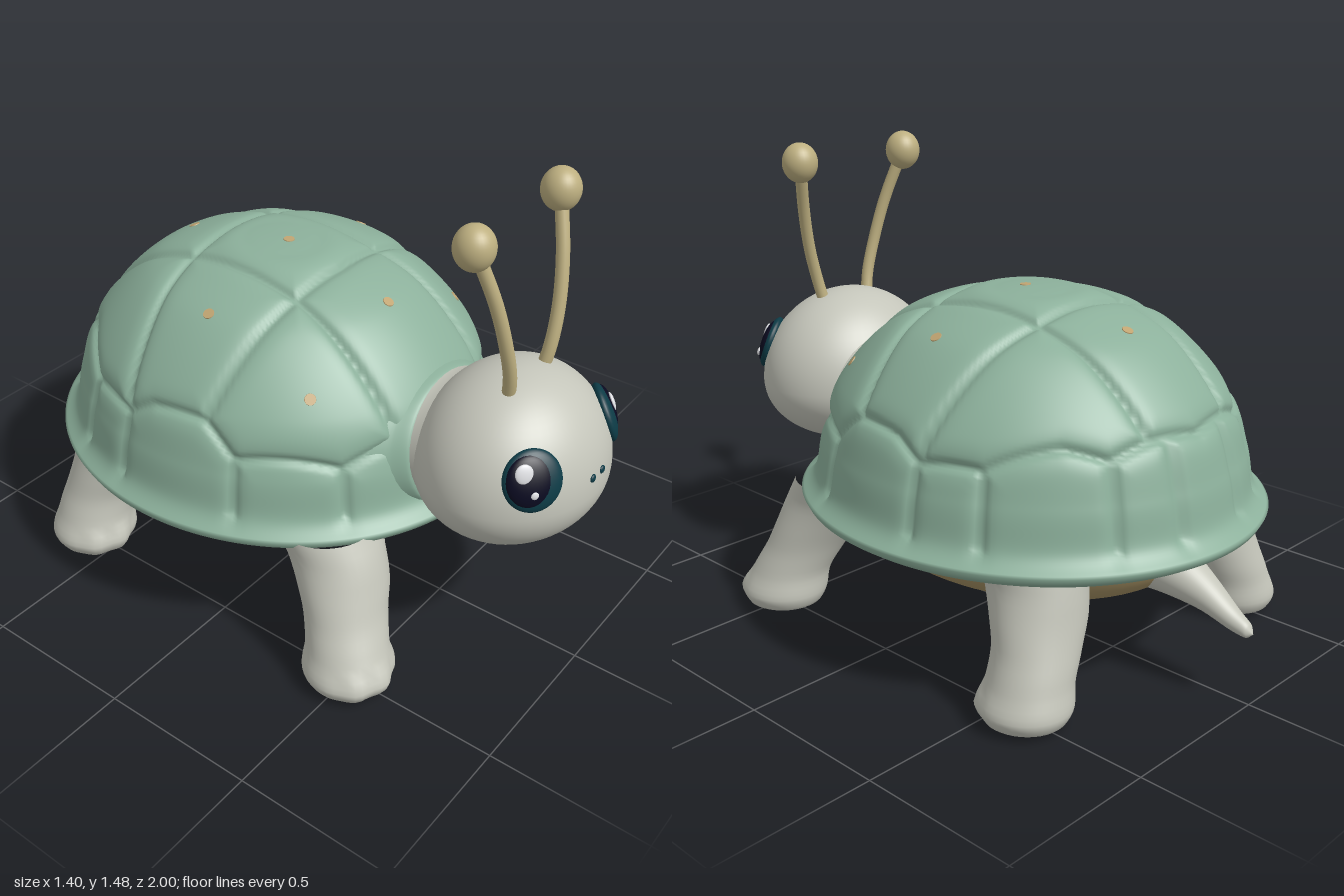
import * as THREE from 'three';
import { mergeVertices } from 'three/addons/utils/BufferGeometryUtils.js';

const mat = (name, color) => {
  const m = new THREE.MeshStandardMaterial({ color });
  m.name = name;
  return m;
};
const V2 = (x, y) => new THREE.Vector2(x, y);
const V3 = (x, y, z) => new THREE.Vector3(x, y, z);
const X = V3(1, 0, 0), Y = V3(0, 1, 0), Z = V3(0, 0, 1);

// Shell plan: an ellipse of half-width 0.7 and half-length 0.76
const SHELL_Z = -0.15, STRETCH = 0.76 / 0.7;
const DOME = new THREE.SplineCurve([
  V2(0, 1.095), V2(0.1, 1.09), V2(0.2, 1.074), V2(0.405, 0.985), V2(0.573, 0.8),
  V2(0.632, 0.63), V2(0.656, 0.51), V2(0.7, 0.458),
]);

function createSeams() {
  // Seams live on a flat polar map: angle from the front, distance along the dome
  const polar = (deg, s, side) => {
    const a = THREE.MathUtils.degToRad(deg);
    return V2(side * s * Math.sin(a), s * Math.cos(a));
  };
  const ring = [[22, 0.74], [38, 0.79], [66, 0.77], [75, 0.67], [92, 0.68], [100, 0.74],
    [118, 0.73], [138, 0.66], [150, 0.7], [162, 0.66], [180, 0.67]];
  const marginal = [[38, 0.79], [66, 0.77], [100, 0.74], [118, 0.73], [150, 0.7], [168, 0.67]];
  const segs = [];
  const line = (pts) => pts.slice(1).forEach((p, i) => segs.push([pts[i], p]));
  for (const side of [1, -1]) {
    line(ring.map(([d, s]) => polar(d, s, side)));
    marginal.forEach(([d, s]) => line([polar(d, s, side), polar(d, 0.93, side)]));
    line([polar(22, 0.74, side), V2(side * 0.2, 0.2), V2(side * 0.19, -0.18), polar(162, 0.66, side)]);
    line([V2(0, 0.21), V2(side * 0.2, 0.2), polar(75, 0.67, side)]);
    line([V2(0, -0.18), V2(side * 0.19, -0.18), polar(100, 0.74, side)]);
  }
  return segs;
}

function seamDistance(p, segs) {
  let best = 1;
  for (const [a, b] of segs) {
    const dx = b.x - a.x, dy = b.y - a.y;
    const t = THREE.MathUtils.clamp(((p.x - a.x) * dx + (p.y - a.y) * dy) / (dx * dx + dy * dy), 0, 1);
    best = Math.min(best, Math.hypot(p.x - a.x - t * dx, p.y - a.y - t * dy));
  }
  return best;
}

function smoothed(geo) {
  geo.deleteAttribute('uv');
  geo.deleteAttribute('normal');
  const g = mergeVertices(geo, 1e-5);
  g.computeVertexNormals();
  return g;
}

function shellGeometry() {
  const N = 110, SEG = 256;
  const under = [V2(0.4, 0.385), V2(0.6, 0.392), V2(0.66, 0.418), V2(0.69, 0.438)];
  const profile = [...under, ...DOME.getSpacedPoints(N).reverse()];
  const geo = new THREE.LatheGeometry(profile, SEG);
  const pos = geo.attributes.position, nor = geo.attributes.normal, segs = createSeams();
  for (let i = 0; i <= SEG; i++) {
    const a = ((i % SEG) / SEG) * Math.PI * 2;
    profile.forEach((_, j) => {
      const k = i * profile.length + j, s = 1 - (j - under.length) / N;
      let cut = 0;
      if (s < 0.99) {
        const d = seamDistance(V2(s * Math.sin(a), s * Math.cos(a)), segs);
        cut = 0.013 * Math.exp(-((d / 0.012) ** 2)) + 0.008 * Math.exp(-((d / 0.035) ** 2));
      }
      pos.setXYZ(k, pos.getX(k) - nor.getX(k) * cut, pos.getY(k) - nor.getY(k) * cut,
        (pos.getZ(k) - nor.getZ(k) * cut) * STRETCH + SHELL_Z);
    });
  }
  return smoothed(geo);
}

// Skin through cross-sections [x, y, z, ru, rv]; u x v must point along the path
function loft(rings, u, v, shape = () => 1, steps = 32, sides = 40) {
  const centres = new THREE.CatmullRomCurve3(rings.map((r) => V3(r[0], r[1], r[2])));
  const radii = new THREE.CatmullRomCurve3(rings.map((r) => V3(r[3], r[4] ?? r[3], 0)));
  const pts = [], idx = [];
  for (let i = 0; i <= steps; i++) {
    const c = centres.getPoint(i / steps), r = radii.getPoint(i / steps);
    for (let j = 0; j < sides; j++) {
      const a = (j / sides) * Math.PI * 2, k = shape(a, c.y);
      const p = c.clone().addScaledVector(u, Math.cos(a) * r.x * k).addScaledVector(v, Math.sin(a) * r.y * k);
      pts.push(p.x, Math.max(p.y, 0), p.z);
      if (i === steps) continue;
      const b = (j + 1) % sides, o = i * sides;
      idx.push(o + j, o + b, o + sides + j, o + b, o + sides + b, o + sides + j);
    }
  }
  const g = new THREE.BufferGeometry();
  g.setAttribute('position', new THREE.Float32BufferAttribute(pts, 3));
  g.setIndex(idx);
  g.computeVertexNormals();
  return g;
}

export function createModel() {
  const model = new THREE.Group();
  model.name = 'turtle';
  const skin = mat('skin', 0xc4c5ba), green = mat('shellGreen', 0x8cb09b), tan = mat('bellyTan', 0xa38f62);
  const horn = mat('antennaTan', 0xbdaf80), teal = mat('eyeTeal', 0x0d3b46), dark = mat('pupilDark', 0x0a0a20);
  const white = mat('highlightWhite', 0xdcdde0), spotMat = mat('spotTan', 0xc0a472);
  const add = (name, geo, material, parent = model) => {
    const m = new THREE.Mesh(geo, material);
    m.name = name;
    parent.add(m);
    return m;
  };
  const ball = (name, material, p, r, parent) => {
    const m = add(name, new THREE.SphereGeometry(1, 32, 20), material, parent);
    m.position.set(...p);
    m.scale.set(...r);
    return m;
  };

  // Shell and belly
  add('shell', shellGeometry(), green);
  const bellyProfile = new THREE.SplineCurve([V2(0, 0.198), V2(0.15, 0.201), V2(0.3, 0.213), V2(0.43, 0.243),
    V2(0.52, 0.31), V2(0.57, 0.42)]).getPoints(30);
  const belly = add('belly', new THREE.LatheGeometry(bellyProfile, 64), tan);
  belly.scale.set(0.88, 1, 1.13);
  belly.position.z = -0.12;

  // Small round spots on the shell plates
  const dome = DOME.getSpacedPoints(200);
  const surface = (x, z) => {
    const r = Math.hypot(x, (z - SHELL_Z) / STRETCH);
    const i = Math.max(1, dome.findIndex((p) => p.x >= r)), a = dome[i - 1], b = dome[i];
    return V3(x, a.y + ((b.y - a.y) * (r - a.x)) / (b.x - a.x), z);
  };
  for (const [x, z] of [[0, -0.52], [0, -0.12], [0, 0.26], [0.38, -0.12], [-0.38, -0.12], [0.38, 0.26], [-0.38, 0.26]]) {
    const p = surface(x, z), e = 0.02;
    const n = surface(x, z + e).sub(surface(x, z - e)).cross(surface(x + e, z).sub(surface(x - e, z))).normalize();
    const spot = add('shellSpot', new THREE.CylinderGeometry(0.017, 0.018, 0.005, 20), spotMat);
    spot.position.copy(p);
    spot.quaternion.setFromUnitVectors(Y, n);
  }

  // Head: tall above its widest line, shallow below
  const headGeo = new THREE.SphereGeometry(1, 56, 40), hp = headGeo.attributes.position;
  for (let i = 0; i < hp.count; i++) {
    const y = hp.getY(i);
    hp.setXYZ(i, hp.getX(i) * 0.325, 0.64 + y * (y > 0 ? 0.31 : 0.22), 0.72 + hp.getZ(i) * 0.28);
  }
  add('head', smoothed(headGeo), skin);

  // Neck, and the shell collar that hugs it
  add('neck', loft([[0, 0.67, 0.72, 0.2, 0.22], [0, 0.665, 0.62, 0.228, 0.245], [0, 0.645, 0.54, 0.205, 0.235],
    [0, 0.63, 0.47, 0.2, 0.23], [0, 0.63, 0.3, 0.22, 0.25]], Y, X), skin);
  add('shellCollar', loft([[0, 0.63, 0.525, 0.19, 0.215], [0, 0.63, 0.512, 0.208, 0.24], [0, 0.625, 0.47, 0.222, 0.27],
    [0, 0.62, 0.41, 0.25, 0.33], [0, 0.62, 0.32, 0.27, 0.38]], V3(0, 0.97, -0.2), X), green);

  for (const side of [1, -1]) {
    const name = side > 0 ? 'left' : 'right';

    // Eye, pupil and highlights
    const eye = new THREE.Group();
    eye.name = name + 'Eye';
    eye.position.set(side * 0.21, 0.758, 0.898);
    eye.lookAt(eye.position.clone().add(V3(side * 1.99, 1.1, 2.35)));
    model.add(eye);
    ball('iris', teal, [0, 0, 0], [0.088, 0.092, 0.03], eye);
    ball('pupil', dark, [side * 0.01, 0.002, 0.009], [0.071, 0.078, 0.026], eye);
    ball('largeHighlight', white, [-0.017 + side * 0.015, 0.03, 0.03], [0.027, 0.029, 0.008], eye);
    ball('smallHighlight', white, [0.02 + side * 0.025, -0.032, 0.027], [0.014, 0.015, 0.008], eye);

    ball(name + 'Nostril', teal, [side * 0.027, 0.7, 0.993], [0.013, 0.013, 0.007]);

    // Antenna
    const stalk = new THREE.CatmullRomCurve3([V3(side * 0.09, 0.88, 0.735), V3(side * 0.112, 0.98, 0.75),
      V3(side * 0.145, 1.1, 0.747), V3(side * 0.18, 1.24, 0.725), V3(side * 0.22, 1.39, 0.682)]);
    add(name + 'AntennaStalk', new THREE.TubeGeometry(stalk, 24, 0.02, 16), horn);
    ball(name + 'AntennaTip', horn, [side * 0.226, 1.41, 0.676], [0.059, 0.066, 0.059]);

    // Legs: wide shoulders, rounded feet with faint toes
    const toes = (a, y) => 1 + (y < 0.1 ? 0.04 * Math.cos(8 * a) * Math.max(0, Math.sin(a)) : 0);
    const leg = (part, [z0, z1, z2, z3, z4, z5]) => add(name + part, loft([
      [0.37, 0.46, z0, 0.17, 0.165], [0.392, 0.38, z1, 0.147, 0.15], [0.412, 0.29, z2, 0.148, 0.135],
      [0.446, 0.21, z3, 0.134, 0.124], [0.482, 0.13, z4, 0.128, 0.126], [0.502, 0.06, z5, 0.138, 0.142],
      [0.504, 0.02, z5, 0.12, 0.126], [0.504, 0.002, z5, 0.075, 0.08], [0.504, 0, z5, 0.001, 0.001],
    ].map(([x, ...rest]) => [side * x, ...rest]), X, Z, toes), skin);
    leg('FrontLeg', [0.31, 0.365, 0.41, 0.445, 0.478, 0.497]);
    leg('BackLeg', [-0.5, -0.53, -0.558, -0.582, -0.592, -0.59]);
  }

  // Tail
  add('tail', loft([[0, 0.38, -0.58, 0.12], [0, 0.345, -0.72, 0.085], [0, 0.3, -0.84, 0.054],
    [0, 0.247, -0.94, 0.032], [0, 0.23, -0.982, 0.022], [0, 0.224, -1, 0.001]], Y, X), skin);

  return model;
}
